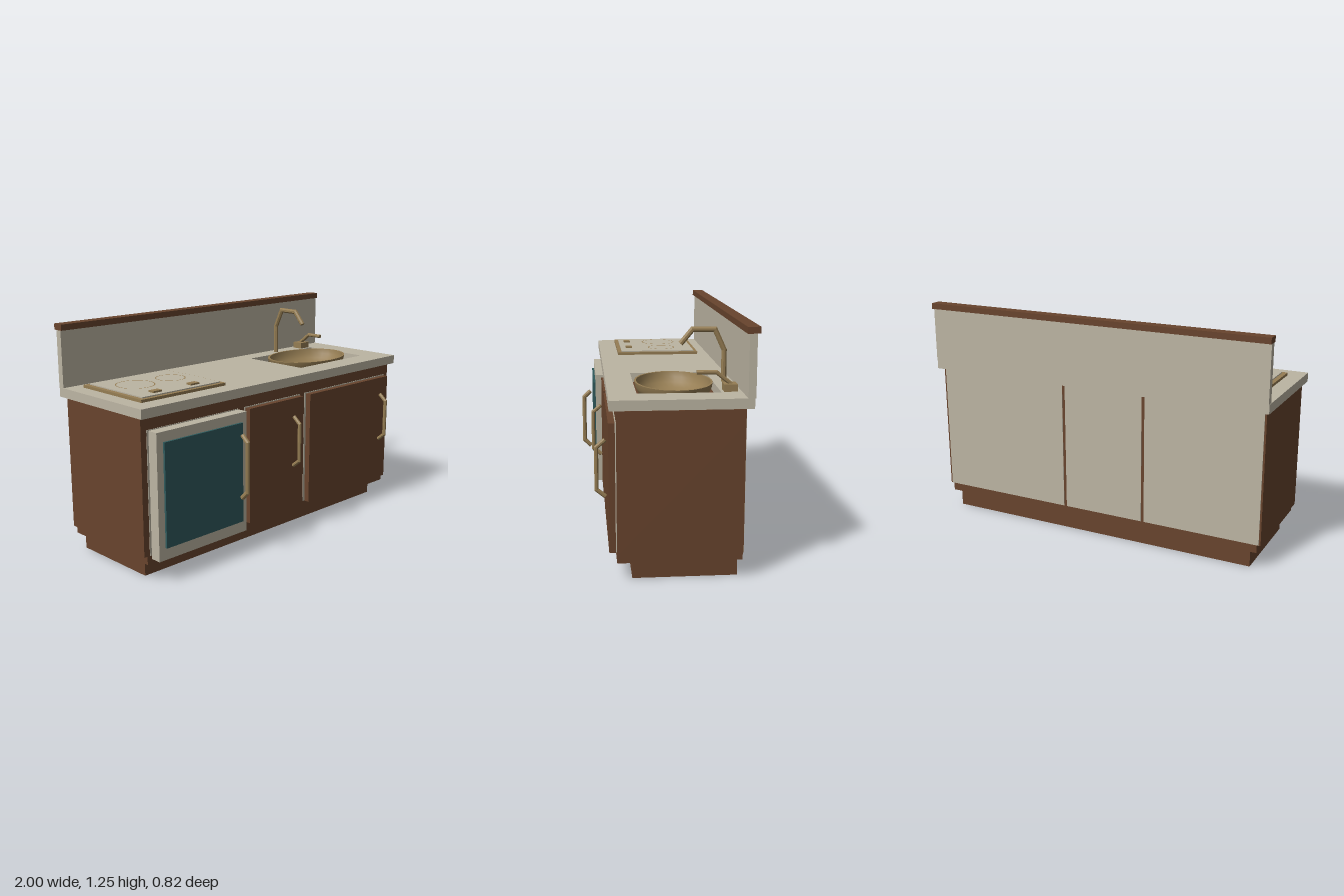
import * as THREE from 'three';
import { toCreasedNormals } from 'three/addons/utils/BufferGeometryUtils.js';

const mat = (name, color) => {
  const m = new THREE.MeshStandardMaterial({ color });
  m.name = name;
  return m;
};

export function createModel() {
  const wood = mat('brown wood', 0x68442d);
  const cream = mat('cream enamel', 0xbcb5a3);
  const teal = mat('teal glass', 0x2f5a5c);
  const brass = mat('brass', 0x957d53);
  const model = new THREE.Group();

  const add = (name, geometry, material) => {
    const mesh = new THREE.Mesh(geometry, material);
    mesh.name = name;
    model.add(mesh);
    return mesh;
  };
  // Box given by its limits on each axis
  const box = (name, material, x0, x1, y0, y1, z0, z1) => {
    const g = new THREE.BoxGeometry(x1 - x0, y1 - y0, z1 - z0);
    g.translate((x0 + x1) / 2, (y0 + y1) / 2, (z0 + z1) / 2);
    return add(name, g, material);
  };
  // Horizontal slab with one hole
  const slab = (name, material, x0, x1, y0, y1, z0, z1, hole) => {
    const s = new THREE.Shape([[x0, z0], [x1, z0], [x1, z1], [x0, z1]].map(p => new THREE.Vector2(...p)));
    s.holes.push(hole);
    const g = new THREE.ExtrudeGeometry(s, { depth: y1 - y0, bevelEnabled: false, curveSegments: 32 });
    g.rotateX(Math.PI / 2).translate(0, y1, 0);
    return add(name, g, material);
  };
  // Mitred eight-sided rod along [z, y] points in the plane x
  const rod = (name, x, r, path) => {
    const n = 8, pos = [], idx = [];
    const pts = path.map(p => new THREE.Vector2(...p));
    const dir = i => pts[i + 1].clone().sub(pts[i]).normalize();
    pts.forEach((p, i) => {
      const a = dir(Math.max(0, i - 1)), b = dir(Math.min(pts.length - 2, i));
      const t = a.clone().add(b).normalize();
      const k = 1 / t.dot(a);
      for (let j = 0; j < n; j++) {
        const w = (j + 0.5) / n * Math.PI * 2, c = Math.cos(w) * r * k;
        pos.push(x + Math.sin(w) * r, p.y + t.x * c, p.x - t.y * c);
      }
    });
    for (let i = 0; i < pts.length - 1; i++) {
      for (let j = 0; j < n; j++) {
        const a = i * n + j, b = i * n + (j + 1) % n;
        idx.push(a, a + n, b, b, a + n, b + n);
      }
    }
    const e = (pts.length - 1) * n;
    for (let j = 1; j < n - 1; j++) idx.push(0, j, j + 1, e, e + j + 1, e + j);
    // Make the faces point outwards
    const v = i => new THREE.Vector3(pos[i * 3], pos[i * 3 + 1], pos[i * 3 + 2]);
    const capNormal = v(1).sub(v(0)).cross(v(2).sub(v(0)));
    const start = dir(0);
    if (capNormal.y * start.y + capNormal.z * start.x > 0) idx.reverse();
    let g = new THREE.BufferGeometry();
    g.setAttribute('position', new THREE.Float32BufferAttribute(pos, 3));
    g.setIndex(idx);
    g = g.toNonIndexed();
    g.computeVertexNormals();
    return add(name, g, brass);
  };

  const sinkX = 0.565, sinkZ = -0.05;

  // Cabinet: plinth, base, body and a top cut out for the basin
  box('plinth', wood, -0.92, 0.92, 0, 0.095, -0.335, 0.185);
  box('cabinetBase', wood, -0.96, 0.96, 0.095, 0.14, -0.355, 0.26);
  box('cabinetBody', wood, -0.98, 0.98, 0.14, 0.78, -0.355, 0.26);
  const basinHole = new THREE.Path();
  basinHole.absellipse(sinkX, sinkZ, 0.243, 0.177, 0, Math.PI * 2, true);
  slab('cabinetTop', wood, -0.98, 0.98, 0.78, 0.855, -0.355, 0.26, basinHole);

  // Cream linings behind the doors, and back panels
  for (const [x0, x1] of [[-0.945, -0.33], [-0.282, 0.158], [0.198, 0.942]])
    box('doorLining', cream, x0, x1, 0.14, 0.792, 0.258, 0.263);
  for (const [x0, x1] of [[-0.97, -0.315], [-0.298, 0.168], [0.185, 0.97]])
    box('backPanel', cream, x0, x1, 0.14, 0.858, -0.358, -0.354);

  // Doors
  box('applianceDoor', cream, -0.94, -0.332, 0.125, 0.79, 0.27, 0.33);
  box('applianceWindow', teal, -0.9, -0.37, 0.19, 0.738, 0.329, 0.342);
  box('middleDoor', wood, -0.275, 0.147, 0.14, 0.787, 0.265, 0.297);
  box('sinkDoor', wood, 0.21, 0.935, 0.14, 0.787, 0.265, 0.297);

  // Door handles
  rod('applianceHandle', -0.395, 0.013, [[0.362, 0.335], [0.4, 0.372], [0.4, 0.645], [0.362, 0.68]]);
  for (const x of [0.06, 0.848])
    rod('doorHandle', x, 0.011, [[0.31, 0.402], [0.353, 0.437], [0.353, 0.65], [0.31, 0.687]]);

  // Worktop with a rectangular cut-out, and splashback
  const cutout = new THREE.Path([[0.285, -0.255], [0.285, 0.155], [0.845, 0.155], [0.845, -0.255]]
    .map(p => new THREE.Vector2(...p)));
  slab('worktop', cream, -1, 1, 0.86, 0.91, -0.39, 0.295, cutout);
  box('splashback', cream, -0.998, 0.998, 0.908, 1.215, -0.395, -0.358);
  box('splashbackTrim', wood, -1, 1, 1.213, 1.245, -0.41, -0.347);

  // Oval basin: outer wall, rim, inner wall
  const wall = (r, depth) => Array.from({ length: 8 }, (_, i) => {
    const a = i / 7 * Math.PI / 2;
    return new THREE.Vector2(Math.sin(a) * r, -Math.cos(a) * depth);
  });
  const profile = [...wall(1, 0.13), ...wall(0.95, 0.122).reverse()];
  const bowl = new THREE.LatheGeometry(profile, 32).scale(0.275, 1, 0.2);
  add('basin', toCreasedNormals(bowl, 0.6), brass).position.set(sinkX, 0.92, sinkZ);

  // Tap and its lever
  rod('tap', sinkX, 0.014, [[-0.31, 0.87], [-0.31, 1.075], [-0.262, 1.18], [-0.147, 1.18], [-0.087, 1.108]]);
  box('leverBase', brass, 0.76, 0.835, 0.908, 0.946, -0.336, -0.27);
  rod('lever', 0.797, 0.011, [[-0.312, 0.94], [-0.236, 1.001], [-0.14, 1.001]]);

  // Hob with ring markings and controls
  box('hobFrame', brass, -0.915, -0.35, 0.908, 0.925, -0.295, 0.19);
  box('hobPlate', cream, -0.89, -0.37, 0.92, 0.931, -0.274, 0.168);
  for (const [x, r] of [[-0.738, 0.105], [-0.5, 0.083]]) {
    const ring = new THREE.RingGeometry(r - 0.006, r, 32).rotateX(-Math.PI / 2);
    add('hobRing', ring, brass).position.set(x, 0.933, -0.085);
  }
  for (const x of [-0.767, -0.516])
    box('hobControl', brass, x - 0.028, x + 0.028, 0.925, 0.94, 0.097, 0.135);

  return model;
}
